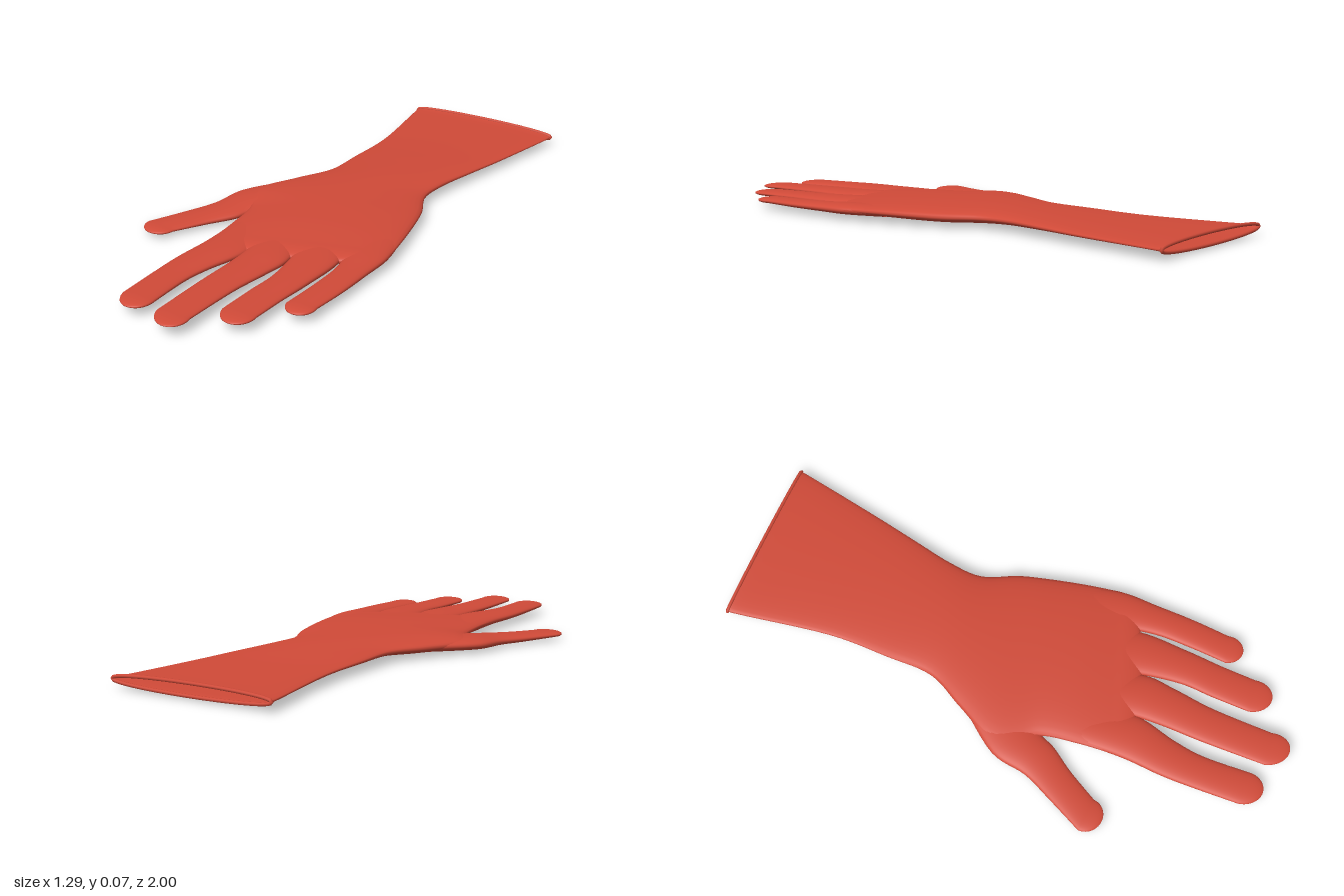
import * as THREE from 'three';

const RING = 40;
const material = new THREE.MeshStandardMaterial({ color: 0xd04a38, side: THREE.DoubleSide });

// Point on a flattened oval between the two edge points of a row
// row = [leftX, leftZ, rightX, rightZ, bottomY, topY]
function ovalPoint([lx, lz, rx, rz, y0, y1], angle) {
  const u = (1 - Math.cos(angle)) / 2;
  const s = Math.sin(angle);
  const y = (y0 + y1) / 2 + Math.sign(s) * Math.abs(s) ** 0.85 * (y1 - y0) / 2;
  return new THREE.Vector3(lx + (rx - lx) * u, y, lz + (rz - lz) * u);
}

// Smooth in-between rows
function refine(rows, steps) {
  const out = [];
  const n = rows.length - 1;
  for (let i = 0; i < n; i++) {
    const [a, b, c, d] = [rows[Math.max(i - 1, 0)], rows[i], rows[i + 1], rows[Math.min(i + 2, n)]];
    for (let s = 0; s < steps; s++) {
      const t = s / steps;
      out.push(b.map((_, k) => b[k] + 0.5 * t * (c[k] - a[k]
        + t * (2 * a[k] - 5 * b[k] + 4 * c[k] - d[k] + t * (3 * (b[k] - c[k]) + d[k] - a[k])))));
    }
  }
  out.push(rows[n]);
  return out;
}

// Skin over the rows, closed by a rounded end reaching the tip [x, z]
function loft(name, rows, tip) {
  const all = refine(rows, 6);
  const [lx, lz, rx, rz, y0, y1] = rows[rows.length - 1];
  const cx = (lx + rx) / 2, cz = (lz + rz) / 2, cy = (y0 + y1) / 2;
  for (let i = 1; i <= 10; i++) {
    const a = (i / 10) * Math.PI / 2;
    const w = Math.max(Math.cos(a), 0.002), f = Math.sin(a);
    const x = cx + (tip[0] - cx) * f, z = cz + (tip[1] - cz) * f;
    all.push([x + (lx - cx) * w, z + (lz - cz) * w, x + (rx - cx) * w, z + (rz - cz) * w,
      cy + (y0 - cy) * w, cy + (y1 - cy) * w]);
  }
  const positions = [], index = [];
  all.forEach((row, i) => {
    for (let j = 0; j < RING; j++) {
      positions.push(...ovalPoint(row, (j / RING) * Math.PI * 2).toArray());
      if (i === all.length - 1) continue;
      const a = i * RING + j, b = i * RING + (j + 1) % RING;
      index.push(a, a + RING, b, b, a + RING, b + RING);
    }
  });
  const geometry = new THREE.BufferGeometry();
  geometry.setAttribute('position', new THREE.Float32BufferAttribute(positions, 3));
  geometry.setIndex(index);
  geometry.computeVertexNormals();
  const mesh = new THREE.Mesh(geometry, material);
  mesh.name = name;
  return mesh;
}

export function createModel() {
  const glove = new THREE.Group();
  glove.name = 'glove';

  // Open cuff, wrist and palm
  const mouth = [0.067, -0.992, 0.635, -0.79, 0.014, 0.054];
  glove.add(loft('cuffAndPalm', [
    mouth,
    [0.055, -0.93, 0.605, -0.735, 0.018, 0.05],
    [0.0, -0.62, 0.47, -0.5, 0.018, 0.054],
    [-0.07, -0.41, 0.38, -0.35, 0.017, 0.061],
    [-0.13, -0.25, 0.3, -0.215, 0.014, 0.067],
    [-0.24, -0.14, 0.255, -0.1, 0.007, 0.07],
    [-0.36, -0.01, 0.265, 0.03, 0.002, 0.072],
    [-0.325, 0.13, 0.26, 0.13, 0.004, 0.072],
    [-0.345, 0.27, 0.245, 0.27, 0.01, 0.069],
    [-0.375, 0.39, 0.225, 0.4, 0.016, 0.062],
  ], [-0.075, 0.485]));

  // Rolled edge around the cuff opening
  const rimPoints = [];
  for (let i = 0; i < 64; i++) rimPoints.push(ovalPoint(mouth, (i / 64) * Math.PI * 2));
  const rim = new THREE.Mesh(
    new THREE.TubeGeometry(new THREE.CatmullRomCurve3(rimPoints, true), 160, 0.006, 8, true), material);
  rim.name = 'cuffRim';
  glove.add(rim);

  // Fingers and thumb, rooted inside the palm
  glove.add(loft('indexFinger', [
    [-0.335, 0.25, -0.2, 0.3, 0.016, 0.058],
    [-0.385, 0.42, -0.235, 0.47, 0.017, 0.059],
    [-0.44, 0.555, -0.315, 0.6, 0.02, 0.056],
    [-0.475, 0.66, -0.365, 0.7, 0.022, 0.053],
    [-0.523, 0.82, -0.41, 0.85, 0.025, 0.05],
  ], [-0.478, 0.905]));
  glove.add(loft('middleFinger', [
    [-0.21, 0.28, -0.08, 0.31, 0.018, 0.06],
    [-0.235, 0.45, -0.085, 0.49, 0.018, 0.061],
    [-0.265, 0.56, -0.13, 0.6, 0.021, 0.058],
    [-0.315, 0.7, -0.195, 0.735, 0.024, 0.055],
    [-0.383, 0.91, -0.268, 0.935, 0.029, 0.051],
  ], [-0.33, 0.997]));
  glove.add(loft('ringFinger', [
    [-0.09, 0.28, 0.07, 0.31, 0.018, 0.06],
    [-0.08, 0.44, 0.075, 0.47, 0.018, 0.06],
    [-0.105, 0.61, 0.015, 0.64, 0.021, 0.056],
    [-0.15, 0.73, -0.035, 0.76, 0.024, 0.053],
    [-0.195, 0.855, -0.08, 0.88, 0.027, 0.05],
  ], [-0.147, 0.938]));
  glove.add(loft('littleFinger', [
    [0.07, 0.27, 0.24, 0.26, 0.018, 0.058],
    [0.083, 0.42, 0.222, 0.41, 0.018, 0.057],
    [0.07, 0.53, 0.18, 0.53, 0.02, 0.053],
    [0.03, 0.65, 0.133, 0.66, 0.022, 0.05],
    [-0.02, 0.775, 0.08, 0.785, 0.025, 0.047],
  ], [0.025, 0.838]));
  glove.add(loft('thumb', [
    [-0.25, -0.12, -0.15, 0.06, 0.01, 0.062],
    [-0.395, -0.02, -0.3, 0.13, 0.007, 0.053],
    [-0.462, 0.095, -0.36, 0.19, 0.006, 0.044],
    [-0.54, 0.18, -0.44, 0.25, 0.007, 0.038],
    [-0.643, 0.285, -0.535, 0.335, 0.011, 0.033],
  ], [-0.61, 0.363]));

  return glove;
}
